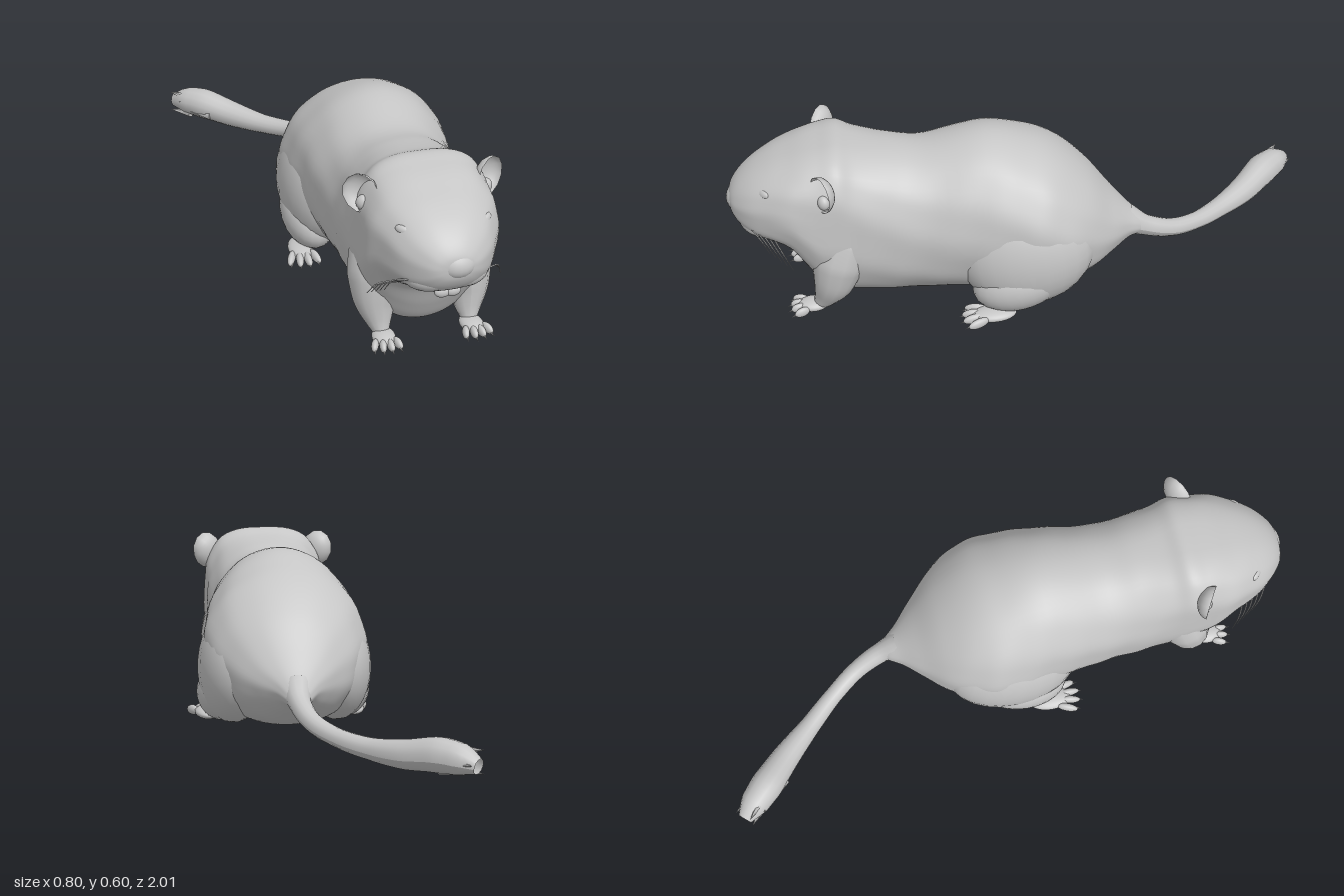
import * as THREE from 'three';

const CX = 0.08; // the body's own centre line; the tail swings to the other side
const fur = new THREE.MeshStandardMaterial({ color: 0xc6c6c6, side: THREE.DoubleSide });
fur.name = 'grey fur';

function add(parent, geometry, name, pos = [0, 0, 0], scale = [1, 1, 1], rot = [0, 0, 0]) {
  const m = new THREE.Mesh(geometry, fur);
  m.name = name;
  m.position.set(...pos);
  m.scale.set(...scale);
  m.rotation.set(...rot);
  parent.add(m);
  return m;
}

const signedPow = (v, p) => Math.sign(v) * Math.abs(v) ** p;

// Closed skin over cross-sections [z, bottom, top, half width, upper roundness, lower roundness]
function loft(sections, rows, cols) {
  const smooth = k => new THREE.CatmullRomCurve3(
    sections.map(s => new THREE.Vector3(s[k], s[k + 1], s[k + 2])), false, 'catmullrom');
  const c1 = smooth(0), c2 = smooth(3);
  const pos = [], idx = [];
  for (let i = 0; i <= rows; i++) {
    const a = c1.getPoint(i / rows), b = c2.getPoint(i / rows);
    for (let j = 0; j < cols; j++) {
      const t = j / cols * Math.PI * 2, s = Math.sin(t), p = s > 0 ? b.y : b.z;
      // slightly uneven fur
      const ripple = 1 + 0.016 * Math.sin(7 * t + a.x * 17) * Math.sin(4 * t - a.x * 29);
      const x = b.x * signedPow(Math.cos(t), p) * ripple;
      const y = (a.y + a.z) / 2 + (a.z - a.y) / 2 * signedPow(s, p);
      pos.push(CX + x, y, a.x);
      if (i < rows) {
        const k = i * cols, n = (j + 1) % cols;
        idx.push(k + j, k + cols + j, k + n, k + n, k + cols + j, k + cols + n);
      }
    }
  }
  const g = new THREE.BufferGeometry();
  g.setAttribute('position', new THREE.Float32BufferAttribute(pos, 3));
  g.setIndex(idx);
  g.computeVertexNormals();
  return g;
}

// Tube through points [x, y, z, radius] with a changing thickness
function limb(points, segs = 24, sides = 14) {
  const curve = new THREE.CatmullRomCurve3(points.map(p => new THREE.Vector3(p[0], p[1], p[2])));
  const g = new THREE.TubeGeometry(curve, segs, 1, sides);
  const p = g.attributes.position, v = new THREE.Vector3();
  for (let i = 0; i <= segs; i++) {
    const c = curve.getPointAt(i / segs);
    const t = curve.getUtoTmapping(i / segs) * (points.length - 1);
    const k = Math.min(Math.floor(t), points.length - 2);
    const r = THREE.MathUtils.lerp(points[k][3], points[k + 1][3], t - k);
    for (let j = 0; j <= sides; j++) {
      const n = i * (sides + 1) + j;
      v.fromBufferAttribute(p, n).sub(c).multiplyScalar(r).add(c);
      p.setXYZ(n, v.x, v.y, v.z);
    }
  }
  g.computeVertexNormals();
  return g;
}

const ball = new THREE.SphereGeometry(1, 24, 16);

// Flat paw with four spread toes and claws
function paw(name, x, z, width, length, side) {
  const g = new THREE.Group();
  g.name = name;
  add(g, ball, 'palm', [0, 0.024, 0], [width * 0.8, 0.02, length * 0.6]);
  for (let i = 0; i < 4; i++) {
    const u = (i - 1.5) / 1.5, reach = length * (0.72 - 0.14 * u * u);
    const tx = u * width * 0.78;
    add(g, ball, 'toe', [tx, 0.021, reach * 0.8], [width * 0.25, 0.017, length * 0.3], [0.12, u * 0.3, 0]);
    add(g, new THREE.ConeGeometry(0.007, 0.035, 6), 'claw',
      [tx * 1.1, 0.014, reach * 0.8 + length * 0.26], [1, 1, 1], [Math.PI / 2 + 0.25, 0, -u * 0.3]);
  }
  g.position.set(x, 0, z);
  g.rotation.y = side * 0.08;
  return g;
}

export function createModel() {
  const model = new THREE.Group();
  model.name = 'rodent';

  // Head, trunk and rump in one skin
  add(model, loft([
    [0.99, 0.385, 0.395, 0.002, 1, 1],
    [0.982, 0.345, 0.43, 0.06, 1, 0.9],
    [0.955, 0.305, 0.468, 0.102, 0.95, 0.8],
    [0.91, 0.275, 0.505, 0.142, 0.9, 0.75],
    [0.85, 0.258, 0.538, 0.175, 0.84, 0.75],
    [0.79, 0.215, 0.562, 0.2, 0.78, 0.85],
    [0.74, 0.12, 0.58, 0.212, 0.7, 1],
    [0.69, 0.045, 0.592, 0.216, 0.64, 1],
    [0.63, 0.025, 0.602, 0.218, 0.64, 0.95],
    [0.57, 0.022, 0.582, 0.217, 0.74, 0.9],
    [0.47, 0.02, 0.565, 0.22, 0.88, 0.88],
    [0.35, 0.02, 0.552, 0.226, 0.95, 0.9],
    [0.15, 0.02, 0.593, 0.256, 1.03, 0.9],
    [0, 0.018, 0.56, 0.275, 1.03, 0.88],
    [-0.1, 0.025, 0.512, 0.262, 1, 0.9],
    [-0.2, 0.055, 0.425, 0.208, 1, 0.95],
    [-0.28, 0.10, 0.325, 0.135, 1, 1],
    [-0.34, 0.138, 0.257, 0.075, 1, 1],
    [-0.39, 0.145, 0.21, 0.036, 1, 1],
    [-0.41, 0.165, 0.17, 0.002, 1, 1],
  ], 120, 64), 'body');

  // Muzzle, chin and front teeth
  add(model, ball, 'nose', [0.09, 0.395, 0.935], [0.07, 0.052, 0.065], [0.35, 0, 0]);
  add(model, ball, 'chin', [CX, 0.275, 0.865], [0.06, 0.024, 0.05]);
  for (const s of [-1, 1]) {
    add(model, ball, 'tooth', [CX + s * 0.016, 0.268, 0.908], [0.026, 0.018, 0.014]);
    add(model, ball, 'lip', [CX + s * 0.055, 0.33, 0.893], [0.085, 0.05, 0.066], [0, s * 0.5, -s * 0.1]);
  }

  for (const s of [-1, 1]) {
    const side = s > 0 ? 'left' : 'right';
    const x = d => CX + s * d;

    // Sleepy eyelid in low relief
    add(model, ball, side + 'Eyelid', [x(0.128), 0.475, 0.865], [0.028, 0.016, 0.014], [0, s * 0.7, s * 0.15]);

    // Cupped ear, open to the front
    const cup = new THREE.SphereGeometry(1, 12, 8, 0, Math.PI * 2, 0, Math.PI / 2).rotateX(-Math.PI / 2);
    add(model, cup, side + 'Ear', [x(0.208), 0.515, 0.685], [0.058, 0.066, 0.045], [0, s * 0.55, -s * 0.25]);
    add(model, ball, side + 'EarLobe', [x(0.195), 0.478, 0.675], [0.025, 0.026, 0.02], [0, s * 0.45, 0]);

    // Whiskers
    for (let i = 0; i < 5; i++) {
      const y = 0.335 - i * 0.012, z = 0.92 - i * 0.018;
      add(model, limb([
        [x(0.12), y, z, 0.003],
        [x(0.165 + i * 0.006), y - 0.012, z - 0.03, 0.0025],
        [x(0.185 + i * 0.008), y - 0.06, z - 0.06, 0.0008],
      ], 6, 4), side + 'Whisker');
    }

    // Front leg, sinking into the shoulder
    add(model, limb([
      [x(0.09), 0.37, 0.58, 0.05], [x(0.122), 0.29, 0.61, 0.095], [x(0.143), 0.20, 0.64, 0.093],
      [x(0.152), 0.12, 0.663, 0.07], [x(0.148), 0.06, 0.69, 0.043], [x(0.145), 0.022, 0.715, 0.022],
    ]), side + 'FrontLeg');
    model.add(paw(side + 'FrontPaw', x(0.145), 0.735, 0.047, 0.088, s));

    // Broad haunch flowing into the hind paw
    add(model, ball, side + 'Haunch', [x(0.165), 0.22, 0.02], [0.13, 0.205, 0.23], [0.2, 0, s * 0.1]);
    add(model, ball, side + 'Ankle', [x(0.205), 0.115, 0.05], [0.092, 0.1, 0.155], [0.25, 0, 0]);
    model.add(paw(side + 'HindPaw', x(0.255), 0.135, 0.052, 0.125, s));
  }

  // Tail, thickening into a ragged tuft
  add(model, limb([
    [0.08, 0.20, -0.33, 0.055], [0.08, 0.165, -0.40, 0.036], [0.05, 0.122, -0.50, 0.031],
    [-0.015, 0.095, -0.60, 0.03], [-0.10, 0.083, -0.70, 0.035], [-0.19, 0.087, -0.80, 0.047],
    [-0.28, 0.103, -0.885, 0.056], [-0.335, 0.1, -0.94, 0.049], [-0.375, 0.088, -0.98, 0.025],
  ], 40), 'tail');
  const along = new THREE.Vector3(-0.69, 0.03, -0.69).normalize();
  for (let i = 0; i < 9; i++) {
    const a = i / 9 * Math.PI * 2, back = (i % 3) * 0.035;
    const dir = along.clone().add(new THREE.Vector3(0.1 * Math.cos(a), 0.1 * Math.sin(a), -0.1 * Math.cos(a))).normalize();
    const tuft = add(model, new THREE.ConeGeometry(0.02, 0.09, 5), 'tailTuft', [
      -0.35 + back + 0.026 * Math.cos(a), 0.095 + 0.038 * Math.sin(a), -0.945 + back - 0.026 * Math.cos(a),
    ]);
    tuft.quaternion.setFromUnitVectors(new THREE.Vector3(0, 1, 0), dir);
  }
  return model;
}
